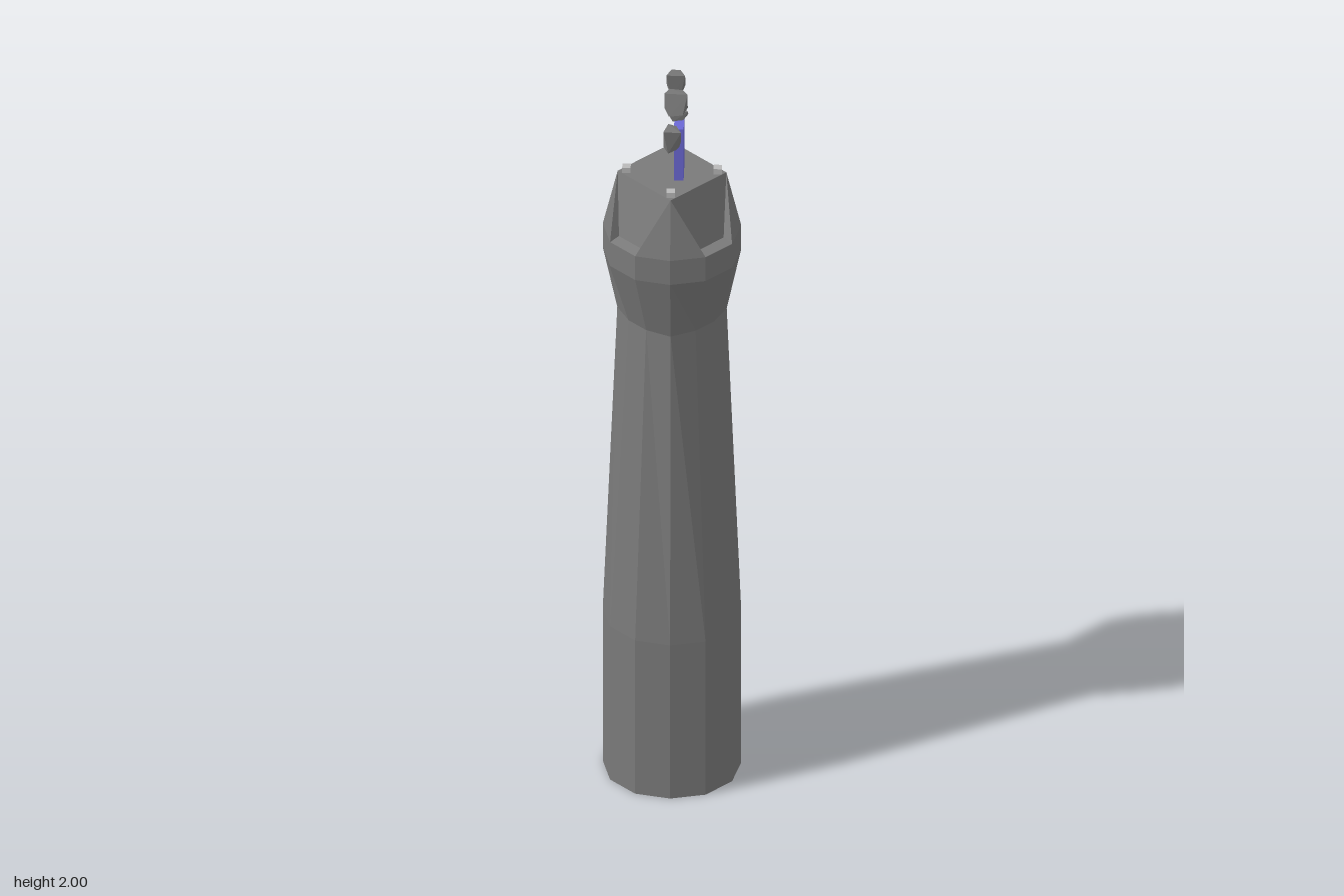
import * as THREE from 'three';
import { ConvexGeometry } from 'three/addons/geometries/ConvexGeometry.js';

const material = (color) => new THREE.MeshStandardMaterial({ color, flatShading: true, side: THREE.DoubleSide });
const stone = material(0x7a7a7a);
const paleStone = material(0xb8b8b8);
const blue = material(0x6a67d4);
const red = material(0xff2a2a);

function add(group, name, geometry, mat = stone) {
  const mesh = new THREE.Mesh(geometry, mat);
  mesh.name = name;
  group.add(mesh);
  return mesh;
}

// Point at a radius and angle around the vertical axis, starting from +z
function polar(r, degrees, y) {
  const a = THREE.MathUtils.degToRad(degrees);
  return [r * Math.sin(a), y, r * Math.cos(a)];
}

// Twelve-sided shaft with a flared collar; four edges stand proud at the neck
function shaftGeometry() {
  const profile = [[0, 0], [0.175, 0], [0.175, 0.45], [0.123, 1.335], [0.175, 1.51], [0.175, 1.58]];
  const ridgeRadii = [0, 0.172, 0.172, 0.136, 0.172, 0.172];
  const geometry = new THREE.LatheGeometry(profile.map(([r, y]) => new THREE.Vector2(r, y)), 12);
  for (let i = 0; i <= 12; i += 3) {
    ridgeRadii.forEach((r, j) => {
      geometry.attributes.position.setXYZ(i * profile.length + j, ...polar(r, i * 30, profile[j][1]));
    });
  }
  return geometry;
}

// One quarter of the head: two half gables with a notched panel between them
function headQuarter(start) {
  const rim = [0.172, 0.175, 0.175, 0.172].map((r, i) => polar(r, start + i * 30, 1.58));
  const innerA = polar(0.146, start + 27, 1.585);
  const innerB = polar(0.146, start + 63, 1.585);
  const apexA = polar(0.135, start, 1.735);
  const apexB = polar(0.135, start + 90, 1.735);
  return [
    rim[0], rim[1], apexA, rim[2], rim[3], apexB, // gable halves
    rim[1], rim[2], innerB, rim[1], innerB, innerA, // ledge
    rim[1], innerA, apexA, rim[2], apexB, innerB, // notch sides
    innerA, innerB, apexB, innerA, apexB, apexA, // sloping panel
    apexA, apexB, [0, 1.735, 0], // flat top
  ].flat();
}

// Rock chip: a (z, y) outline at its left side, shrunk and shifted at its right side
function chip(outline, xRight, xLeft, scale, shiftZ) {
  const n = outline.length;
  const cz = outline.reduce((s, p) => s + p[0], 0) / n;
  const cy = outline.reduce((s, p) => s + p[1], 0) / n;
  const points = [];
  outline.forEach(([z, y], i) => {
    const skew = i % 2 ? 0.012 : 0;
    points.push(new THREE.Vector3(xLeft + skew, y, z));
    points.push(new THREE.Vector3(xRight - skew, cy + (y - cy) * scale, cz + (z - cz) * scale + shiftZ));
  });
  return new ConvexGeometry(points);
}

export function createModel() {
  const model = new THREE.Group();
  model.name = 'tower';

  add(model, 'shaft', shaftGeometry());

  // Head with a diamond-shaped top
  const head = new THREE.BufferGeometry();
  const positions = [0, 90, 180, 270].flatMap(headQuarter);
  head.setAttribute('position', new THREE.Float32BufferAttribute(positions, 3));
  head.computeVertexNormals();
  add(model, 'head', head);

  // Studs at the corners of the top
  for (const [x, z] of [[0.114, 0], [-0.113, 0], [0, 0.113], [0, -0.103]]) {
    add(model, 'stud', new THREE.BoxGeometry(0.021, 0.022, 0.021), paleStone).position.set(x, 1.739, z);
  }

  // Blue crystal slab, outlined in (z, y)
  const slab = new THREE.Shape([
    [0.042, 1.725], [0.042, 1.885], [-0.04, 1.89], [-0.068, 1.9], [-0.048, 1.725],
  ].map(([z, y]) => new THREE.Vector2(z, y)));
  const crystal = new THREE.ExtrudeGeometry(slab, { depth: 0.024, bevelEnabled: false });
  crystal.rotateY(-Math.PI / 2).translate(0.03, 0, 0);
  add(model, 'crystal', crystal, blue);

  // Rock chips around and above the crystal
  const chips = [
    [[[0.064, 1.89], [0.04, 1.9], [0.036, 1.83], [0.06, 1.825]], 0.024, -0.02, 0.8, -0.004],
    [[[0.006, 1.915], [-0.02, 1.92], [-0.025, 1.888], [0.006, 1.885]], 0.04, -0.01, 0.8, 0],
    [[[0.042, 1.99], [0.006, 1.982], [0.03, 1.94], [0.062, 1.935]], 0.04, -0.018, 0.9, 0],
    [[[-0.026, 2], [-0.074, 1.988], [-0.076, 1.942], [-0.03, 1.936]], 0.032, -0.015, 0.95, 0],
  ];
  chips.forEach((args) => add(model, 'rockChip', chip(...args)));

  // Tiny red spark on the lowest floating chip
  const spark = new THREE.ConeGeometry(0.009, 0.012, 3);
  spark.rotateZ(-Math.PI / 2).translate(-0.004, 1.916, -0.01);
  add(model, 'spark', spark, red);

  return model;
}
